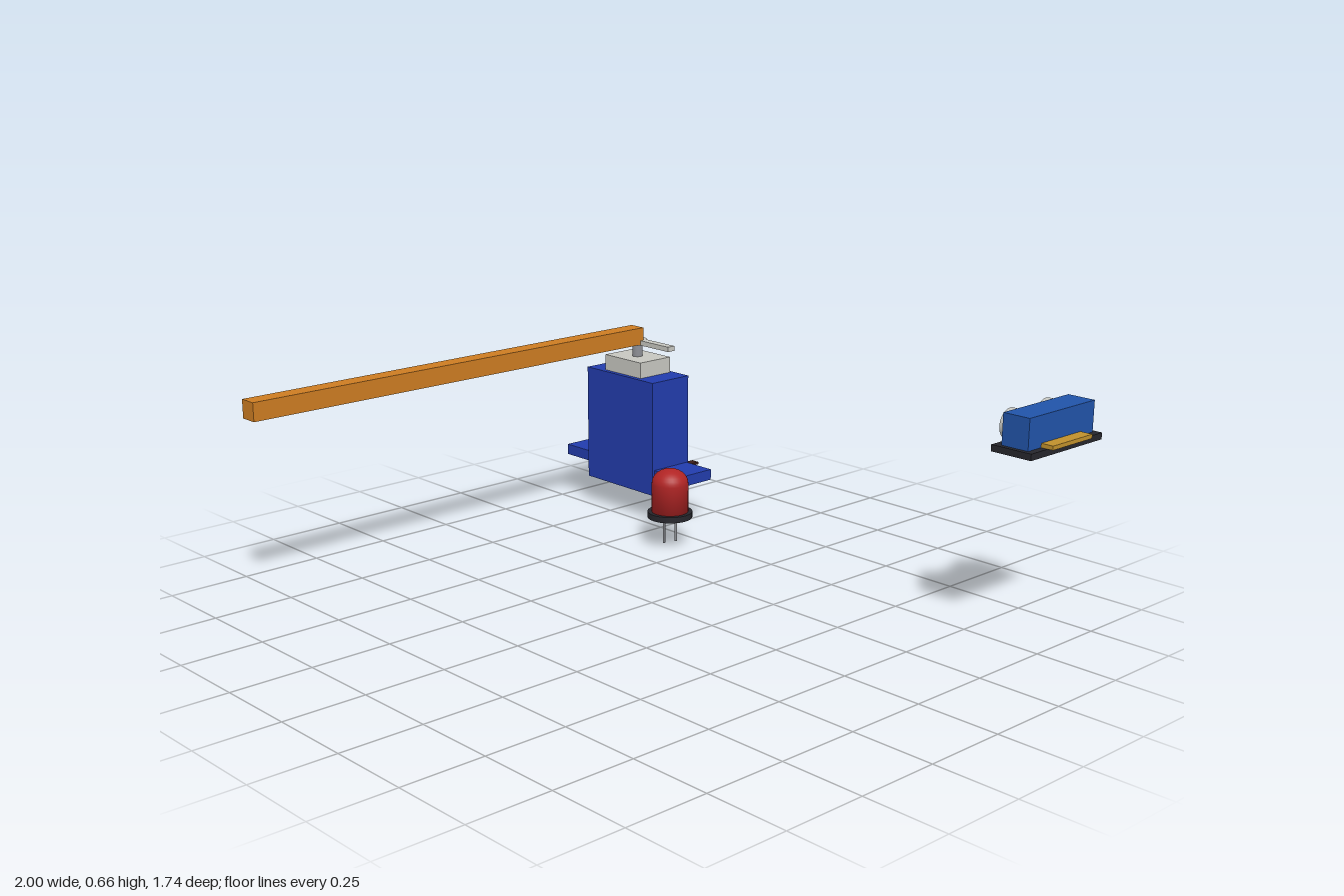
import * as THREE from 'three';

const material = (name, color) => {
  const m = new THREE.MeshStandardMaterial({ color });
  m.name = name;
  return m;
};

export function createModel() {
  const root = new THREE.Group();
  root.name = 'barrierKit';

  const servoBlue = material('servo blue', 0x223cac);
  const sensorBlue = material('sensor blue', 0x2153a8);
  const orange = material('arm orange', 0xcc7c22);
  const red = material('lamp red', 0xb02424);
  const black = material('dark plastic', 0x26262c);
  const cap = material('pale grey', 0xc6c6c0);
  const metal = material('metal grey', 0x8c8e94);
  const gold = material('pin gold', 0xc0902c);
  const brown = material('cable brown', 0x3a1c18);

  const group = (name) => {
    const g = new THREE.Group();
    g.name = name;
    root.add(g);
    return g;
  };
  // Box given by its limits on each axis
  const box = (parent, name, mat, [x0, x1], [y0, y1], [z0, z1]) => {
    const m = new THREE.Mesh(new THREE.BoxGeometry(x1 - x0, y1 - y0, z1 - z0), mat);
    m.position.set((x0 + x1) / 2, (y0 + y1) / 2, (z0 + z1) / 2);
    m.name = name;
    parent.add(m);
  };
  // Upright cylinder between two heights
  const post = (parent, name, mat, r, x, z, y0, y1, sides = 32) => {
    const m = new THREE.Mesh(new THREE.CylinderGeometry(r, r, y1 - y0, sides), mat);
    m.position.set(x, (y0 + y1) / 2, z);
    m.name = name;
    parent.add(m);
  };

  // Servo motor
  const servo = group('servo');
  box(servo, 'servoBody', servoBlue, [-0.88, -0.56], [0.09, 0.47], [-0.678, -0.518]);
  box(servo, 'leftTab', servoBlue, [-0.56, -0.445], [0.14, 0.175], [-0.673, -0.527]);
  box(servo, 'rightTab', servoBlue, [-1, -0.88], [0.14, 0.175], [-0.673, -0.527]);
  box(servo, 'gearCap', cap, [-0.808, -0.635], [0.47, 0.522], [-0.666, -0.534]);
  post(servo, 'outputShaft', metal, 0.017, -0.722, -0.6, 0.522, 0.564);
  post(servo, 'hornHub', cap, 0.031, -0.722, -0.6, 0.563, 0.579);
  box(servo, 'horn', cap, [-0.722, -0.56], [0.563, 0.579], [-0.615, -0.587]);
  box(servo, 'cable', brown, [-0.737, -0.707], [0.098, 0.106], [-0.87, -0.678]);

  // Barrier arm
  box(root, 'barrierArm', orange, [-0.75, -0.693], [0.565, 0.621], [-0.6, 0.869]);

  // Indicator lamp
  const lamp = group('lamp');
  const profile = [[0, 0.113], [0.058, 0.113], [0.058, 0.205]];
  for (let i = 1; i <= 8; i++) {
    const a = (i / 8) * Math.PI / 2;
    profile.push([i === 8 ? 0 : 0.058 * Math.cos(a), 0.205 + 0.047 * Math.sin(a)]);
  }
  const bulb = new THREE.Mesh(
    new THREE.LatheGeometry(profile.map(([r, y]) => new THREE.Vector2(r, y)), 32), red);
  bulb.position.set(-0.35, 0, -0.4);
  bulb.name = 'bulb';
  lamp.add(bulb);
  post(lamp, 'flange', black, 0.071, -0.35, -0.4, 0.094, 0.113);
  post(lamp, 'longLeg', metal, 0.004, -0.377, -0.4, 0, 0.094, 10);
  post(lamp, 'shortLeg', metal, 0.004, -0.323, -0.4, 0.02, 0.094, 10);

  // Distance sensor
  const sensor = group('distanceSensor');
  box(sensor, 'circuitBoard', black, [0.853, 0.983], [0.552, 0.571], [-0.759, -0.441]);
  box(sensor, 'boardUnderside', sensorBlue, [0.862, 0.974], [0.55, 0.553], [-0.75, -0.45]);
  box(sensor, 'sensorBody', sensorBlue, [0.876, 0.962], [0.571, 0.661], [-0.745, -0.455]);
  box(sensor, 'pinHeader', gold, [0.962, 1], [0.571, 0.583], [-0.688, -0.512]);
  for (const z of [-0.68, -0.52]) {
    const eye = new THREE.Mesh(new THREE.CylinderGeometry(0.044, 0.044, 0.026, 32), cap);
    eye.rotation.z = Math.PI / 2;
    eye.position.set(0.863, 0.614, z);
    eye.name = 'transducer';
    sensor.add(eye);
  }
  return root;
}
